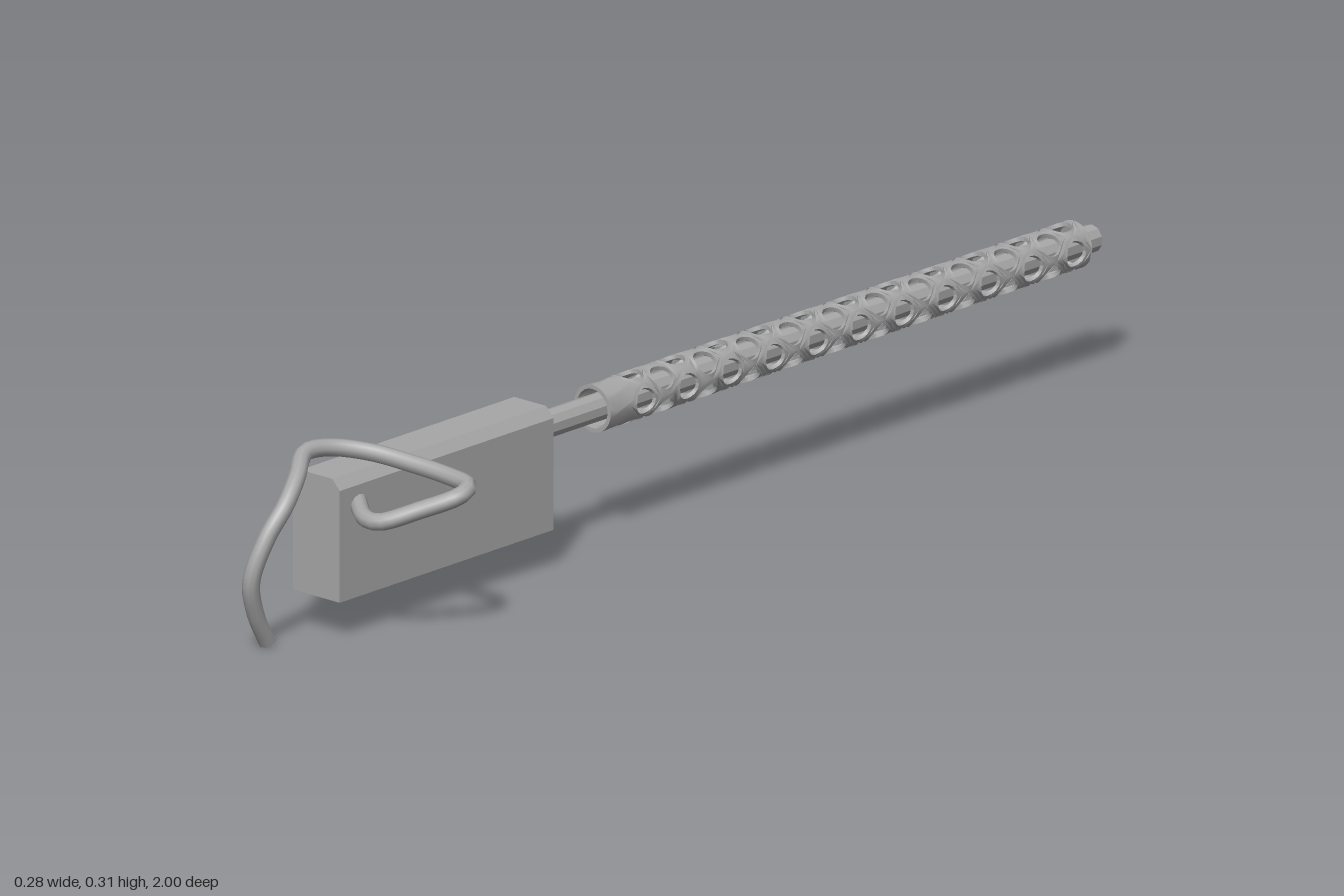
import * as THREE from 'three';
import { mergeGeometries, toCreasedNormals } from 'three/addons/utils/BufferGeometryUtils.js';

const AXIS_X = -0.093, AXIS_Y = 0.223;

export function createModel() {
  const model = new THREE.Group();
  model.name = 'perforatedBarrelAssembly';
  const grey = new THREE.MeshStandardMaterial({ color: 0xa6a6a6, side: THREE.DoubleSide });
  grey.name = 'grey';
  const add = (name, geometry) => {
    const mesh = new THREE.Mesh(geometry, grey);
    mesh.name = name;
    model.add(mesh);
    return mesh;
  };

  // Housing: chamfered top, closed ends, open underneath
  const profile = [[-0.042, 0.066], [-0.042, 0.254], [-0.058, 0.271],
    [-0.127, 0.271], [-0.143, 0.254], [-0.143, 0.066]].map(p => new THREE.Vector2(...p));
  const zBack = 0.333, zFront = 0.84;
  const walls = [];
  for (let i = 0; i < profile.length - 1; i++) {
    const a = profile[i], b = profile[i + 1];
    walls.push(a.x, a.y, zFront, a.x, a.y, zBack, b.x, b.y, zBack,
      a.x, a.y, zFront, b.x, b.y, zBack, b.x, b.y, zFront);
  }
  const wallGeo = new THREE.BufferGeometry();
  wallGeo.setAttribute('position', new THREE.Float32BufferAttribute(walls, 3));
  wallGeo.computeVertexNormals();
  add('housingWalls', wallGeo);
  const endGeo = new THREE.ShapeGeometry(new THREE.Shape(profile));
  add('housingFront', endGeo).position.z = zFront;
  const back = add('housingBack', endGeo.clone().rotateY(Math.PI));
  back.position.set(2 * AXIS_X, 0, zBack);

  // Hollow barrel
  const barrelProfile = [[0.012, -1], [0.023, -1], [0.023, 0.34], [0.012, 0.34], [0.012, -1]]
    .map(p => new THREE.Vector2(...p));
  const barrelGeo = new THREE.LatheGeometry(barrelProfile, 10).rotateX(Math.PI / 2);
  add('barrel', toCreasedNormals(barrelGeo, 0.5)).position.set(AXIS_X, AXIS_Y, 0);

  add('jacket', jacketGeometry()).position.set(AXIS_X, AXIS_Y, 0);

  // Bent wire handle looping from the housing side to a hanging tail
  const path = new THREE.CatmullRomCurve3([
    [-0.113, 0.008, 0.935], [-0.108, 0.065, 0.968], [-0.1, 0.125, 0.986],
    [-0.088, 0.195, 0.962], [-0.083, 0.24, 0.925], [-0.098, 0.275, 0.88],
    [-0.126, 0.298, 0.83], [-0.115, 0.297, 0.78], [-0.07, 0.288, 0.735],
    [0, 0.277, 0.71], [0.07, 0.27, 0.702], [0.119, 0.267, 0.712],
    [0.126, 0.259, 0.737], [0.08, 0.235, 0.785], [0.03, 0.214, 0.825],
    [0, 0.214, 0.825], [-0.055, 0.226, 0.785],
  ].map(p => new THREE.Vector3(...p)));
  const wireRadius = 0.0145;
  add('wireHandle', new THREE.TubeGeometry(path, 64, wireRadius, 10));
  for (const t of [0, 1]) {
    const cap = add('wireEnd', new THREE.CircleGeometry(wireRadius, 10));
    cap.position.copy(path.getPoint(t));
    const out = path.getTangent(t).multiplyScalar(t ? 1 : -1);
    cap.quaternion.setFromUnitVectors(new THREE.Vector3(0, 0, 1), out);
  }
  return model;
}

// Perforated jacket: hexagonal cells with round holes, wrapped round the barrel axis
function jacketGeometry() {
  const R = 0.04, thickness = 0.007, holeR = 0.0225;
  const columns = 8, step = 0.102, firstZ = 0.1, rows = 11;
  const lastZ = firstZ - (rows - 1) * step;
  const w = (2 * Math.PI * R) / columns;
  const a = ((step / 2) ** 2 - w * w) / step, b = step / 2 - a;
  const pieces = [];

  const patch = (corners, hole) => {
    const points = [];
    corners.forEach(([u, v], i) => {
      const [u2, v2] = corners[(i + 1) % corners.length];
      for (let k = 0; k < 3; k++) {
        points.push(new THREE.Vector2(u + (u2 - u) * k / 3, v + (v2 - v) * k / 3));
      }
    });
    const shape = new THREE.Shape(points);
    if (hole) {
      const ring = [];
      for (let k = 0; k < 16; k++) {
        const t = -k * Math.PI / 8;
        ring.push(new THREE.Vector2(hole[0] + holeR * Math.cos(t), hole[1] + holeR * Math.sin(t)));
      }
      shape.holes.push(new THREE.Path(ring));
    }
    const geo = new THREE.ExtrudeGeometry(shape, { depth: thickness, bevelEnabled: false });
    const pos = geo.attributes.position;
    for (let i = 0; i < pos.count; i++) {
      const angle = pos.getX(i) / R, r = R - thickness + pos.getZ(i);
      pos.setXYZ(i, r * Math.cos(angle), r * Math.sin(angle), pos.getY(i));
    }
    pieces.push(geo);
  };

  for (let c = 0; c < columns; c++) {
    const odd = c % 2, u = c * w;
    for (let r = 0; r < rows - odd; r++) {
      const v = firstZ - (r + odd / 2) * step;
      patch([[u + w, v - a], [u + w, v + a], [u, v + b], [u - w, v + a], [u - w, v - a], [u, v - b]], [u, v]);
    }
    // Solid bands closing the zigzag at both ends
    const d0 = odd ? a : b, d1 = odd ? b : a;
    patch([[u, firstZ + d0], [u + w, firstZ + d1], [u + w, 0.185], [u, 0.185]]);
    patch([[u, -0.957], [u + w, -0.957], [u + w, lastZ - d1], [u, lastZ - d0]]);
  }
  return toCreasedNormals(mergeGeometries(pieces), 0.7);
}
